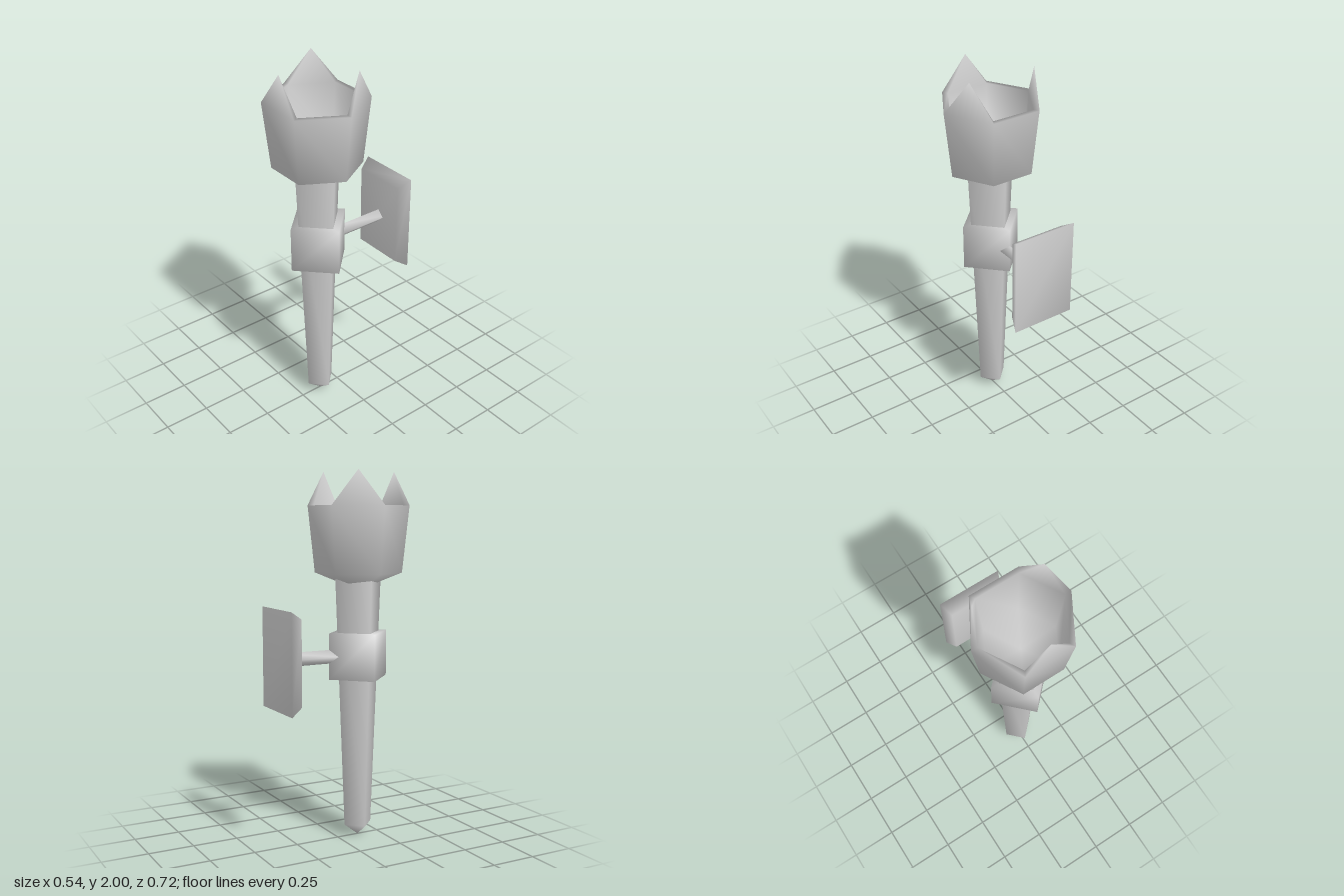
import * as THREE from 'three';
import { mergeGeometries, mergeVertices } from 'three/addons/utils/BufferGeometryUtils.js';

const AXIS_Z = 0.125; // the torch stands in front of its wall plate
const MOUNT_Y = 1.02;

export function createModel() {
  const model = new THREE.Group();
  model.name = 'wallTorch';
  const material = new THREE.MeshStandardMaterial({ color: 0xcccccc });

  // Keep positions only, so that shared corners can be smoothed
  const bare = (geometry) => {
    const g = geometry.index ? geometry.toNonIndexed() : geometry;
    const out = new THREE.BufferGeometry();
    out.setAttribute('position', g.getAttribute('position'));
    return out;
  };
  const add = (name, geometries, y = 0, z = AXIS_Z) => {
    const geometry = mergeVertices(mergeGeometries(geometries.map(bare)), 1e-4);
    geometry.computeVertexNormals();
    const mesh = new THREE.Mesh(geometry, material);
    mesh.name = name;
    mesh.position.set(0, y, z);
    model.add(mesh);
    return mesh;
  };
  const lathe = (profile, sides, start = 0) =>
    new THREE.LatheGeometry(profile.map(([r, y]) => new THREE.Vector2(r, y)), sides, start);

  // Four-sided tapering handle with a pointed foot
  add('handle', [lathe([[0, 0.005], [0.083, 0.07], [0.141, 1.45], [0, 1.45]], 4)]);

  // Square collar, corner to the front
  add('collar', [new THREE.CylinderGeometry(0.178, 0.178, 0.25, 4)], MOUNT_Y);

  // Hexagonal cup with an inner wall
  const RIM_Y = 1.82, OUTER = 0.271, INNER = 0.238;
  const cup = [lathe([
    [0, 1.37], [0.234, 1.465], [OUTER, RIM_Y], [INNER, RIM_Y], [0.205, 1.485], [0, 1.465],
  ], 6, Math.PI / 2)];

  // Pointed crown spikes on every second side of the cup
  const at = (r, a, y) => new THREE.Vector3(r * Math.sin(a), y, r * Math.cos(a));
  for (let i = 0; i < 3; i++) {
    const mid = (i * Math.PI * 2) / 3;
    const a = mid - Math.PI / 6, b = mid + Math.PI / 6;
    const tip = at(0.22, mid, 2);
    const ring = [at(OUTER, a, RIM_Y), at(OUTER, b, RIM_Y), at(INNER, b, RIM_Y), at(INNER, a, RIM_Y)];
    const points = ring.flatMap((p, k) => [p, ring[(k + 1) % 4], tip]);
    cup.push(new THREE.BufferGeometry().setFromPoints(points));
  }
  add('cup', cup);

  // Bracket rod joining the collar to the wall plate
  const rod = new THREE.CylinderGeometry(0.037, 0.037, 0.35, 4).rotateX(Math.PI / 2);
  add('bracketRod', [rod], MOUNT_Y, -0.18);

  // Wall plate, narrower towards the front
  const plate = new THREE.BoxGeometry(0.356, 0.54, 0.07);
  const pos = plate.getAttribute('position');
  for (let i = 0; i < pos.count; i++) {
    if (pos.getZ(i) > 0) {
      pos.setX(i, Math.sign(pos.getX(i)) * 0.15);
      pos.setY(i, Math.sign(pos.getY(i)) * 0.227);
    }
  }
  add('wallPlate', [plate], MOUNT_Y, -0.325);

  return model;
}
